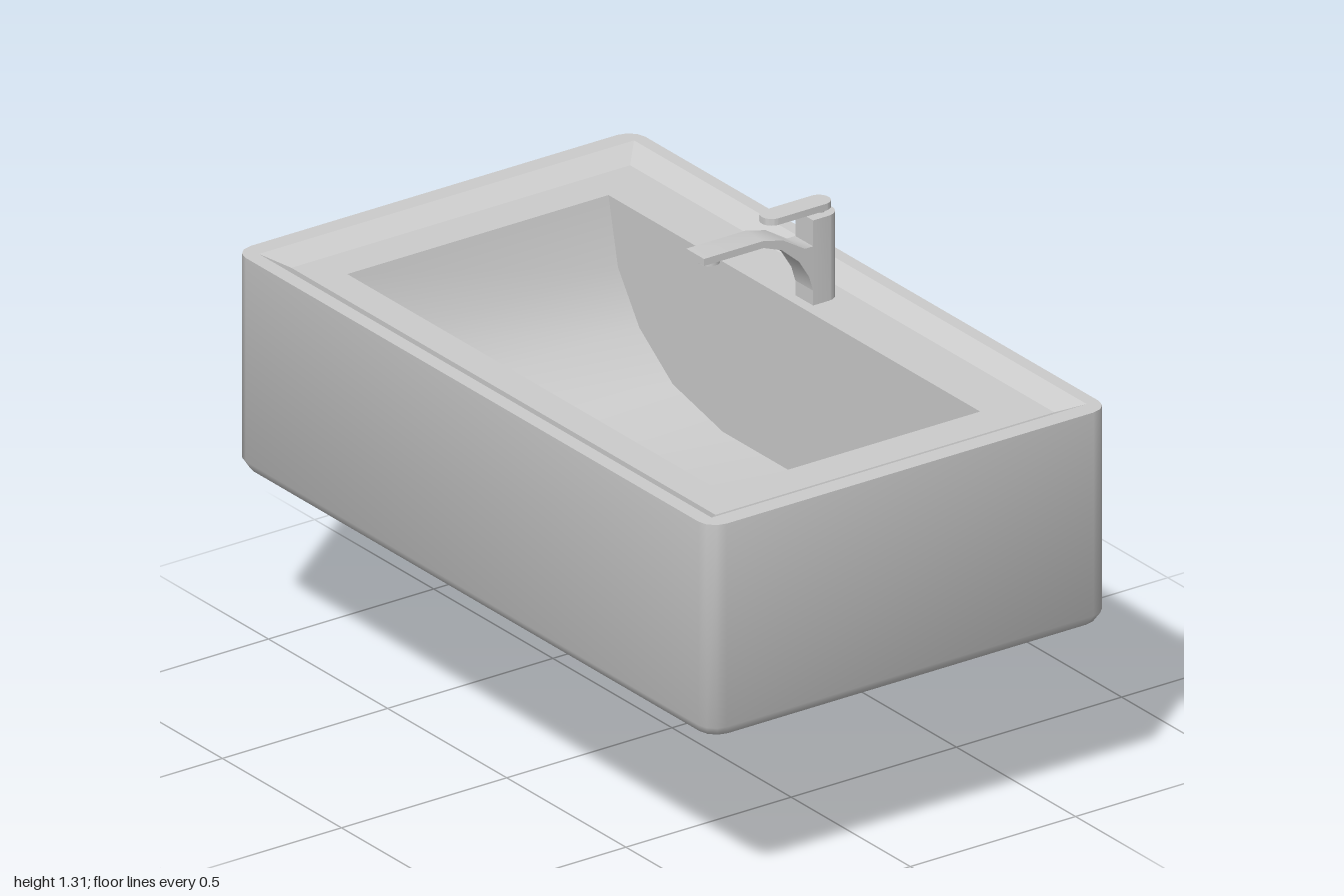
import * as THREE from 'three';
import { toCreasedNormals } from 'three/addons/utils/BufferGeometryUtils.js';

const material = new THREE.MeshStandardMaterial({ color: 0xcccccc, side: THREE.DoubleSide });
const V2 = (x, y) => new THREE.Vector2(x, y);
const V3 = (x, y, z) => new THREE.Vector3(x, y, z);

function add(parent, name, geometry, x = 0, y = 0, z = 0) {
  const mesh = new THREE.Mesh(geometry, material);
  mesh.name = name;
  mesh.position.set(x, y, z);
  parent.add(mesh);
  return mesh;
}

// Skin between rings of equal point count; skip(row, i) leaves a quad open
function loft(rings, { closed = true, crease = 0.9, skip = () => false } = {}) {
  const n = rings[0].length;
  const index = [];
  for (let j = 0; j < rings.length - 1; j++) {
    for (let i = 0; i < (closed ? n : n - 1); i++) {
      if (skip(j, i)) continue;
      const k = (i + 1) % n;
      const a = j * n + i, b = j * n + k, c = a + n, d = b + n;
      index.push(a, c, b, b, c, d);
    }
  }
  const geometry = new THREE.BufferGeometry().setFromPoints(rings.flat());
  geometry.setIndex(index);
  return toCreasedNormals(geometry, crease);
}

// Plan points are (x, -z), counterclockwise from above
const lift = (points, y) => points.map(p => V3(p.x, y, -p.y));
const rect = (x, back, front) => [V2(x, -back), V2(-x, -back), V2(-x, -front), V2(x, -front)];

const CORNER_STEPS = 3;
function roundedOutline(inset) {
  const r = 0.05, hx = 1 - inset - r, hz = 0.605 - inset - r;
  const points = [];
  [[1, 1], [-1, 1], [-1, -1], [1, -1]].forEach(([sx, sz], k) => {
    for (let i = 0; i <= CORNER_STEPS; i++) {
      const a = (k + i / CORNER_STEPS) * Math.PI / 2;
      points.push(V2(sx * hx + r * Math.cos(a), sz * hz + r * Math.sin(a)));
    }
  });
  return points;
}

// Flat horizontal sheet with an optional hole
function sheet(outline, hole) {
  const shape = new THREE.Shape(outline);
  if (hole) shape.holes.push(new THREE.Path(hole));
  return new THREE.ShapeGeometry(shape).rotateX(-Math.PI / 2);
}

// Upright extrusion of a plan shape, starting at height 0
const slab = (shape, height) => toCreasedNormals(
  new THREE.ExtrudeGeometry(shape, { depth: height, bevelEnabled: false, curveSegments: 10 })
    .rotateX(-Math.PI / 2), 0.6);

function createBasin() {
  const basin = new THREE.Group();
  basin.name = 'basin';
  const deckY = 1.05;

  // Outer shell, open across the back
  const levels = [[1.08, 0], [0.53, 0], [0.505, 0.013], [0.485, 0.05]];
  add(basin, 'outerShell', loft(levels.map(([y, inset]) => lift(roundedOutline(inset), y)), {
    skip: (row, i) => row === 0 && i === CORNER_STEPS,
  }));
  add(basin, 'underside', sheet(roundedOutline(0.05)).rotateX(Math.PI).translate(0, 0.485, 0));

  // Raised rim sloping down to the deck
  const rimInner = rect(0.95, -0.57, 0.565);
  const deckOuter = rect(0.89, -0.515, 0.51);
  add(basin, 'rim', sheet(roundedOutline(0), rimInner), 0, 1.08, 0);
  add(basin, 'rimSlope', loft([lift(deckOuter, deckY), lift(rimInner, 1.08)], { crease: 0.3 }));
  add(basin, 'deck', sheet(deckOuter, rect(0.78, -0.37, 0.42)), 0, deckY, 0);

  // Curved trough with flat end walls
  const half = [V2(0.78, deckY), V2(0.74, 0.87), V2(0.65, 0.74), V2(0.51, 0.64), V2(0.3, 0.59)];
  const profile = [...half, ...half.map(p => V2(-p.x, p.y)).reverse()];
  const ring = z => profile.map(p => V3(p.x, p.y, z));
  add(basin, 'bowl', loft([ring(0.42), ring(-0.37)], { closed: false }));
  const wall = () => new THREE.ShapeGeometry(new THREE.Shape(profile));
  add(basin, 'bowlBackWall', wall(), 0, 0, -0.37);
  add(basin, 'bowlFrontWall', wall().rotateY(Math.PI), 0, 0, 0.42);
  return basin;
}

function createFaucet() {
  const faucet = new THREE.Group();
  faucet.name = 'faucet';
  const r = 0.0375;

  // Column: round at the back, flat where the spout joins
  const column = new THREE.Shape();
  column.moveTo(-r, -0.047);
  column.lineTo(r, -0.047);
  column.lineTo(r, 0);
  column.absarc(0, 0, r, 0, Math.PI, false);
  add(faucet, 'column', slab(column, 0.23), 0, 1.05, -0.447);

  // Spout side profile, in (z, y)
  const spout = new THREE.Shape([
    V2(-0.07, 1.265), V2(-0.25, 1.265), V2(-0.31, 1.25), V2(-0.375, 1.21), V2(-0.41, 1.21),
    V2(-0.41, 1.05), V2(-0.403, 1.05), V2(-0.4, 1.09), V2(-0.388, 1.13), V2(-0.357, 1.18),
    V2(-0.305, 1.225), V2(-0.25, 1.246), V2(-0.07, 1.246),
  ]);
  const spoutGeometry = new THREE.ExtrudeGeometry(spout, { depth: 2 * r, bevelEnabled: false });
  add(faucet, 'spout', toCreasedNormals(spoutGeometry.rotateY(-Math.PI / 2), 0.6), r, 0, 0);
  add(faucet, 'aerator', new THREE.CylinderGeometry(0.027, 0.027, 0.016, 16), 0, 1.24, -0.112);

  // Lever on a short neck
  add(faucet, 'leverNeck', new THREE.CylinderGeometry(0.014, 0.014, 0.02, 12), 0, 1.285, -0.445);
  const lever = new THREE.Shape();
  lever.absarc(0, 0.444, 0.03, 0, Math.PI, false);
  lever.absarc(0, 0.302, 0.03, Math.PI, Math.PI * 2, false);
  add(faucet, 'lever', slab(lever, 0.018), 0, 1.292, 0);
  return faucet;
}

function createDrain() {
  const drain = new THREE.Group();
  drain.name = 'drain';
  const r = 0.07, sides = 10;

  // Trap centreline in (z, y), swept with mitred rings
  const path = [
    [-0.11, 0.485], [-0.11, 0.15], [-0.137, 0.092], [-0.19, 0.073], [-0.243, 0.092],
    [-0.27, 0.15], [-0.27, 0.27], [-0.29, 0.32], [-0.335, 0.343], [-0.4, 0.35], [-0.59, 0.35],
  ].map(([z, y]) => V3(0, y, z));
  const rings = path.map((p, i) => {
    const before = p.clone().sub(path[Math.max(i - 1, 0)]).normalize();
    const after = path[Math.min(i + 1, path.length - 1)].clone().sub(p).normalize();
    const t = before.clone().add(after).normalize();
    const stretch = 1 / Math.max(t.dot(before), t.dot(after));
    const normal = V3(1, 0, 0).cross(t).multiplyScalar(r * stretch);
    return Array.from({ length: sides }, (_, k) => {
      const a = k / sides * Math.PI * 2;
      return p.clone().addScaledVector(normal, Math.sin(a)).add(V3(r * Math.cos(a), 0, 0));
    });
  });
  add(drain, 'trapPipe', loft(rings));

  // Collars at the basin and at the wall
  add(drain, 'basinCollar', new THREE.CylinderGeometry(0.088, 0.088, 0.025, sides), 0, 0.4725, -0.11);
  const collar = [V2(0.068, 0), V2(0.086, 0), V2(0.086, 0.055), V2(0.068, 0.055), V2(0.068, 0)];
  const wallCollar = toCreasedNormals(new THREE.LatheGeometry(collar, sides), 0.9);
  add(drain, 'wallCollar', wallCollar.rotateX(-Math.PI / 2), 0, 0.35, -0.55);
  return drain;
}

export function createModel() {
  const model = new THREE.Group();
  model.name = 'washbasin';
  model.add(createBasin(), createFaucet(), createDrain());
  return model;
}
